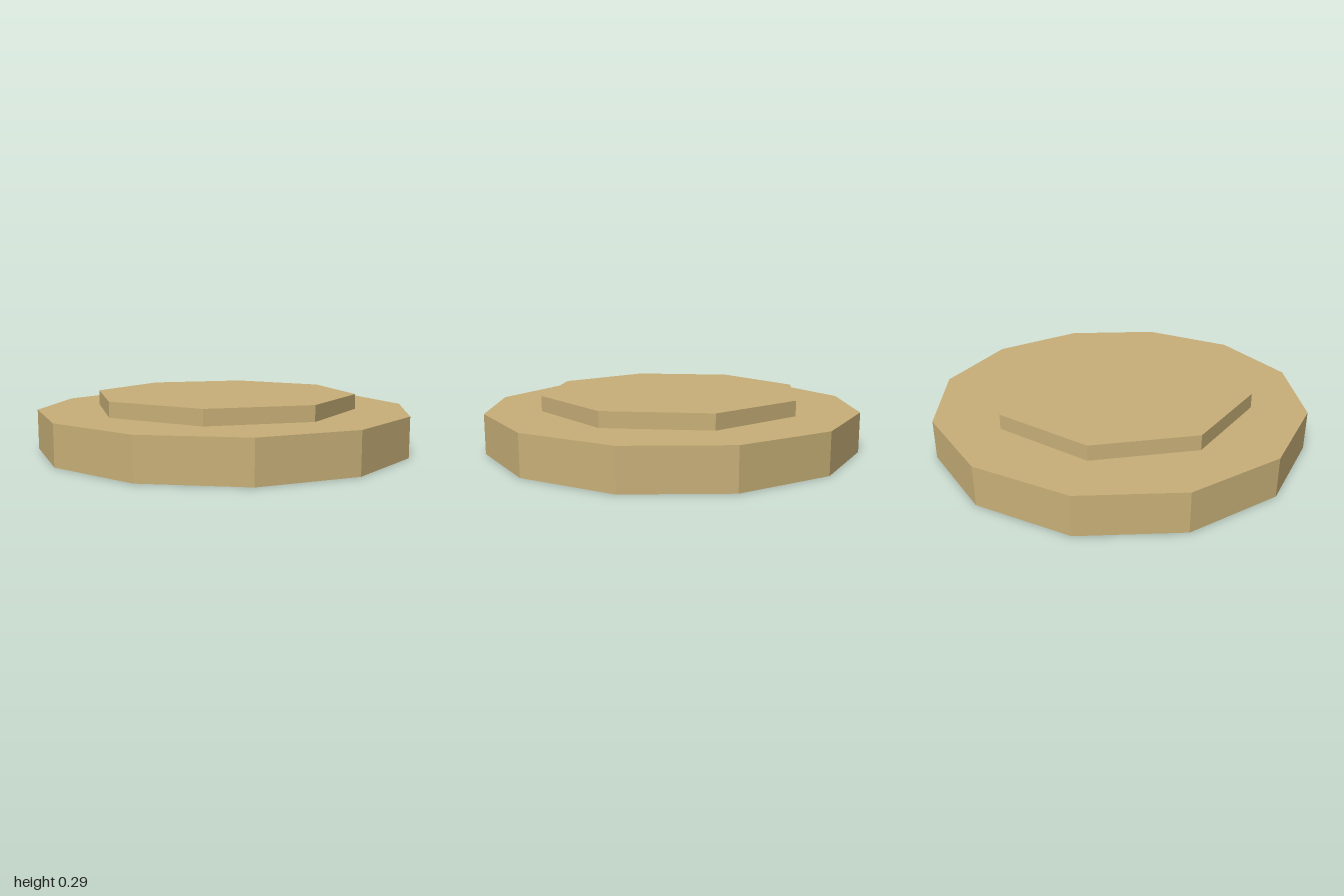
import * as THREE from 'three';

export function createModel() {
  const group = new THREE.Group();
  const sand = new THREE.MeshStandardMaterial({ color: 0xc8b078 });
  sand.name = 'sand';

  // Faceted disc with corners on the x and z axes
  const addDisc = (name, radius, bottom, top, sides) => {
    const geometry = new THREE.CylinderGeometry(radius, radius, top - bottom, sides).toNonIndexed();
    geometry.computeVertexNormals(); // flat facets
    const mesh = new THREE.Mesh(geometry, sand);
    mesh.name = name;
    mesh.position.y = (top + bottom) / 2;
    group.add(mesh);
  };

  addDisc('base', 1, 0, 0.21, 12);
  addDisc('raisedStep', Math.SQRT1_2, 0.21, 0.29, 8);
  return group;
}
